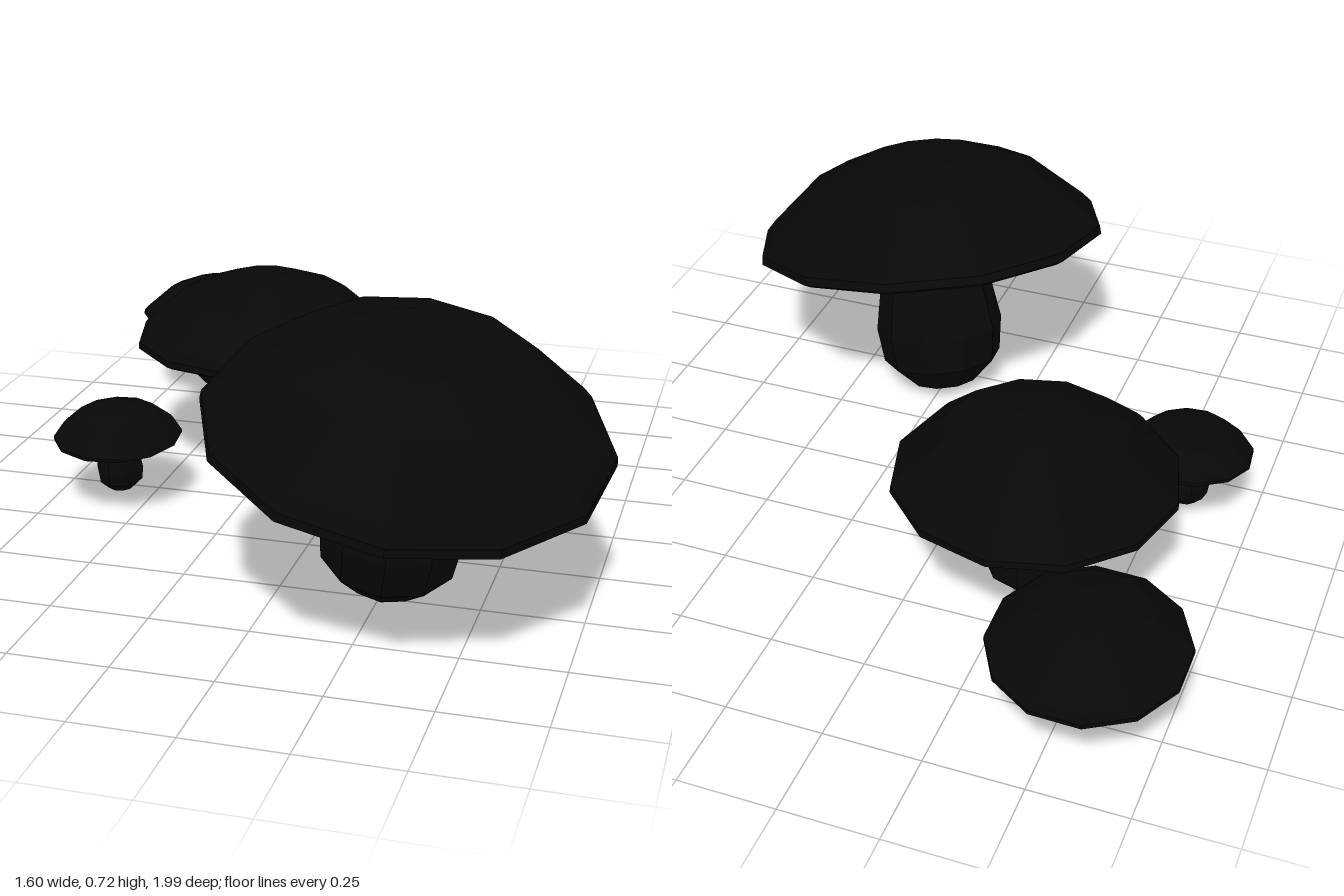
import * as THREE from 'three';

const material = new THREE.MeshStandardMaterial({ color: 0x080808, flatShading: true, side: THREE.DoubleSide });
const lathe = (points, sides) =>
  new THREE.LatheGeometry(points.map(([r, y]) => new THREE.Vector2(r, y)), sides);

// Shared profiles (radius, height), from the bottom upwards
const RIM = 0.33;
const stemGeometry = lathe([[0, 0], [0.072, 0], [0.124, 0.052], [0.133, 0.125], [0.1, 0.31], [0.095, 0.36]], 10);
const capGeometry = lathe([
  [0, 0.345], [0.1, 0.34], [0.31, 0.322], [0.345, 0.309], // hollow underside and lip
  [0.362, 0.318], [0.36, 0.335], [0.34, 0.357],           // rim
  [0.23, 0.454], [0.115, 0.497], [0, 0.51],               // dome
], 12);

// One mushroom, placed by the centre of its cap rim and leaning along an axis
function mushroom(name, rim, scale, lean, yaw) {
  const group = new THREE.Group();
  group.name = name;
  const stem = new THREE.Mesh(stemGeometry, material);
  stem.name = 'stem';
  const cap = new THREE.Mesh(capGeometry, material);
  cap.name = 'cap';
  group.add(stem, cap);

  const up = new THREE.Vector3(0, 1, 0);
  const axis = new THREE.Vector3(...lean).normalize();
  group.quaternion.setFromUnitVectors(up, axis)
    .multiply(new THREE.Quaternion().setFromAxisAngle(up, yaw));
  group.scale.setScalar(scale);
  group.position.set(...rim).addScaledVector(axis, -RIM * scale);
  return group;
}

export function createModel() {
  const model = new THREE.Group();
  model.name = 'mushroomCluster';
  model.add(
    mushroom('largeMushroom', [0.32, 0.46, 0.517], 1.36, [0.163, 1, 0.19], 0.145),
    mushroom('mediumMushroom', [-0.29, 0.36, -0.33], 1, [0, 1, 0], 0),
    mushroom('smallMushroom', [-0.567, 0.263, -0.765], 0.665, [0, 1, -0.11], 0.24),
    mushroom('tinyMushroom', [-0.568, 0.198, 0.114], 0.472, [0, 1, 0.07], -0.16),
  );
  return model;
}
